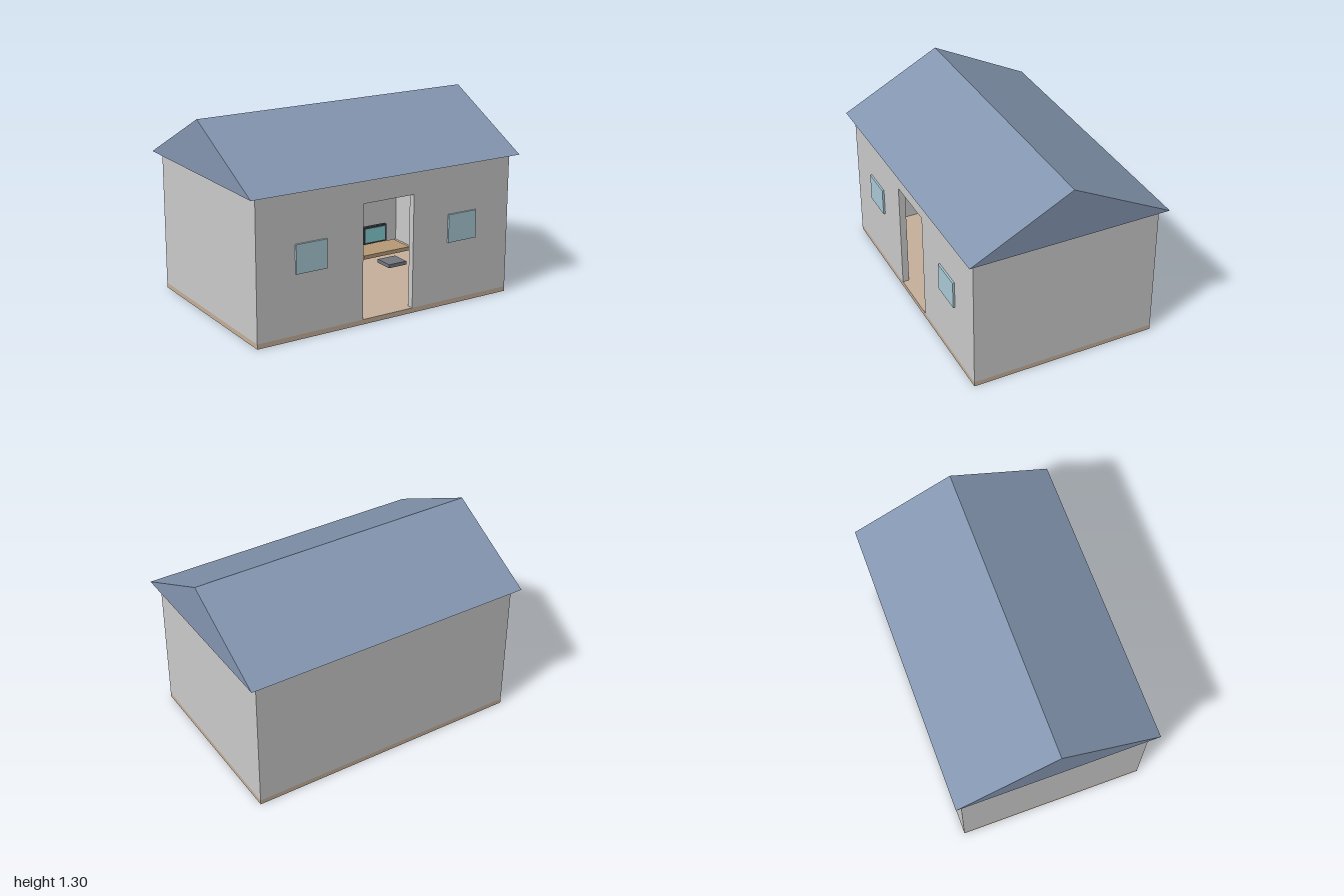
import * as THREE from 'three';

const mat = (color) => new THREE.MeshStandardMaterial({ color });
const grey = mat(0xcccccc), roofBlue = mat(0x8496b0), tan = mat(0xc6b09a), wood = mat(0xb89a78);
const glass = mat(0xabcbd8), dark = mat(0x3c404a), seatGrey = mat(0x74777d), teal = mat(0x86d0d4);

// Main dimensions
const W = 0.95, D = 0.635, T = 0.045, FLOOR = 0.033, EAVE = 0.955, RIDGE = 1.305;

// Box given by its limits on each axis
function box(parent, name, material, [x0, x1], [y0, y1], [z0, z1]) {
  const mesh = new THREE.Mesh(new THREE.BoxGeometry(x1 - x0, y1 - y0, z1 - z0), material);
  mesh.position.set((x0 + x1) / 2, (y0 + y1) / 2, (z0 + z1) / 2);
  mesh.name = name;
  parent.add(mesh);
  return mesh;
}

function extrude(parent, name, material, points, depth) {
  const shape = new THREE.Shape(points.map(([x, y]) => new THREE.Vector2(x, y)));
  const mesh = new THREE.Mesh(new THREE.ExtrudeGeometry(shape, { depth, bevelEnabled: false }), material);
  mesh.name = name;
  parent.add(mesh);
  return mesh;
}

// Desk with monitor and seat, centred on x = 0
function workstation() {
  const g = new THREE.Group();
  g.name = 'workstation';
  box(g, 'deskTop', wood, [-0.19, 0.19], [0.133, 0.16], [-0.28, -0.08]);
  box(g, 'monitor', dark, [-0.095, 0.095], [0.18, 0.305], [-0.26, -0.232]);
  box(g, 'screen', teal, [-0.083, 0.083], [0.192, 0.293], [-0.234, -0.229]);
  box(g, 'seat', seatGrey, [-0.073, 0.073], [0.087, 0.112], [-0.09, 0.05]);
  return g;
}

export function createModel() {
  const house = new THREE.Group();
  house.name = 'house';

  // Floor slab
  box(house, 'floor', tan, [-W, W], [0, FLOOR], [-D, D]);

  // Walls, the front one with a doorway
  const door = 0.19, doorTop = 0.797;
  const front = extrude(house, 'frontWall', grey, [
    [-W, FLOOR], [-door, FLOOR], [-door, doorTop], [door, doorTop],
    [door, FLOOR], [W, FLOOR], [W, EAVE], [-W, EAVE],
  ], T);
  front.position.z = D - T;
  box(house, 'backWall', grey, [-W, W], [FLOOR, EAVE], [-D, -D + T]);
  for (const s of [-1, 1]) {
    const c = s * (W - T / 2);
    box(house, s > 0 ? 'leftWall' : 'rightWall', grey,
      [c - T / 2, c + T / 2], [FLOOR, EAVE], [-D + T, D - T]);
    // Window panels on the front wall
    box(house, 'window', glass, [s * 0.57 - 0.11, s * 0.57 + 0.11], [0.432, 0.622], [D - 0.03, D + 0.013]);
  }

  // Gable roof, a solid prism along x
  const roof = extrude(house, 'roof', roofBlue, [[-0.68, EAVE], [0.68, EAVE], [0, RIDGE]], 2);
  roof.rotation.y = Math.PI / 2;
  roof.position.x = -1;

  // Row of desks inside
  for (let i = -1; i <= 1; i++) {
    const desk = workstation();
    desk.position.x = -0.035 + i * 0.515;
    house.add(desk);
  }
  return house;
}
